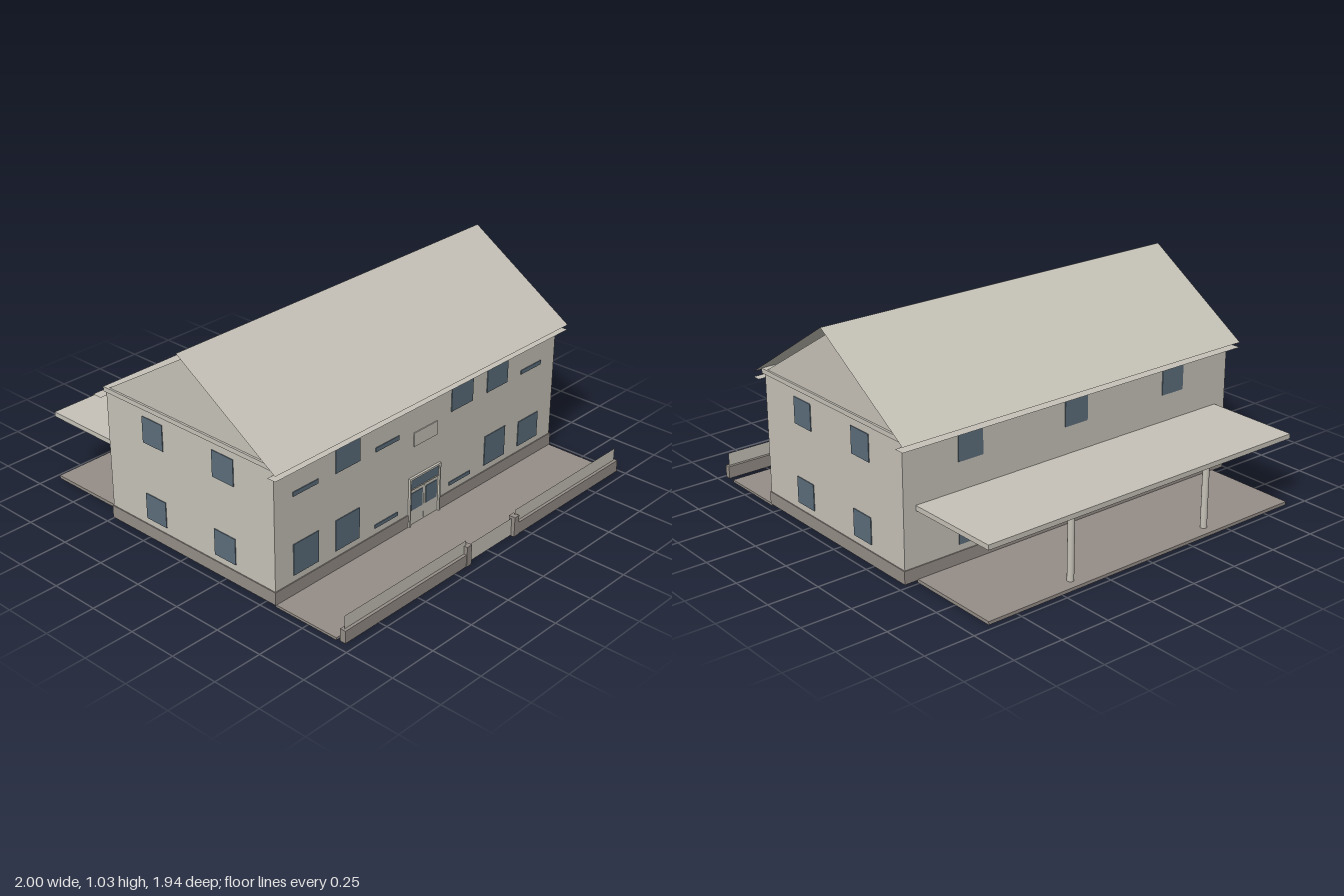
import * as THREE from 'three';

export function createModel() {
  const model = new THREE.Group();
  const mat = (name, color, side = THREE.FrontSide) => {
    const m = new THREE.MeshStandardMaterial({ color, side });
    m.name = name;
    return m;
  };
  const plaster = mat('warm grey plaster', 0xc6c2b8, THREE.DoubleSide);
  const stone = mat('brown grey stone', 0x958d87);
  const glass = mat('blue grey glass', 0x5c6d7b);

  const add = (name, geometry, material, x = 0, y = 0, z = 0) => {
    const mesh = new THREE.Mesh(geometry, material);
    mesh.name = name;
    mesh.position.set(x, y, z);
    model.add(mesh);
    return mesh;
  };
  // Box given by its limits on each axis
  const block = (name, material, x0, x1, y0, y1, z0, z1) =>
    add(name, new THREE.BoxGeometry(x1 - x0, y1 - y0, z1 - z0), material,
      (x0 + x1) / 2, (y0 + y1) / 2, (z0 + z1) / 2);

  const W = 0.965, FRONT = 0.56, BACK = -0.487, BASE = 0.012, EAVE = 0.69;
  const depth = FRONT - BACK, midZ = (FRONT + BACK) / 2, height = EAVE - BASE, midY = (EAVE + BASE) / 2;

  // Walls: an open shell, with a door opening in the front
  const rect = (target, x0, x1, y0, y1) =>
    target.moveTo(x0, y0).lineTo(x1, y0).lineTo(x1, y1).lineTo(x0, y1).closePath();
  const frontShape = new THREE.Shape();
  rect(frontShape, -W, W, BASE, EAVE);
  const opening = new THREE.Path();
  rect(opening, -0.1, 0.1, 0.02, 0.26);
  frontShape.holes.push(opening);
  add('frontWall', new THREE.ShapeGeometry(frontShape), plaster, 0, 0, FRONT);
  add('backWall', new THREE.PlaneGeometry(2 * W, height), plaster, 0, midY, BACK).rotation.y = Math.PI;
  for (const s of [-1, 1]) {
    add('sideWall', new THREE.PlaneGeometry(depth, height), plaster, s * W, midY, midZ).rotation.y = s * Math.PI / 2;
  }

  // Plinth strips around the foot of the walls
  const P = 0.005, PT = 0.075;
  for (const s of [-1, 1]) {
    const xs = [s * 0.11, s * (W + P)].sort((a, b) => a - b);
    block('frontPlinth', stone, xs[0], xs[1], BASE, PT, FRONT, FRONT + P);
    const xe = [s * W, s * (W + P)].sort((a, b) => a - b);
    block('sidePlinth', stone, xe[0], xe[1], BASE, PT, BACK, FRONT);
  }
  block('backPlinth', stone, -W - P, W + P, BASE, PT, BACK - P, BACK);

  // Cornice and gable ends
  block('cornice', plaster, -W - 0.01, W + 0.01, 0.667, EAVE, BACK - 0.008, FRONT + 0.012);
  const RIDGE_Z = 0.033;
  const gable = new THREE.Shape();
  gable.moveTo(-0.536, EAVE).lineTo(0.463, EAVE).lineTo(-RIDGE_Z, 1.0).closePath();
  for (const s of [-1, 1]) {
    add('gable', new THREE.ShapeGeometry(gable), plaster, s * W, 0, 0).rotation.y = Math.PI / 2;
  }

  // Thin roof slopes with a soffit strip under each eave
  const RIDGE_Y = 1.035, EDGE_Y = 0.67;
  for (const [edge, wall] of [[0.605, FRONT], [-0.54, BACK]]) {
    const run = edge - RIDGE_Z, drop = RIDGE_Y - EDGE_Y;
    const slope = add('roofSlope', new THREE.PlaneGeometry(2, Math.hypot(run, drop)), plaster,
      0, (RIDGE_Y + EDGE_Y) / 2, (edge + RIDGE_Z) / 2);
    slope.rotation.x = run > 0 ? -Math.atan2(run, drop) : -Math.PI + Math.atan2(-run, drop) + Math.PI;
    if (run < 0) slope.material = plaster;
    add('soffit', new THREE.PlaneGeometry(2, Math.abs(edge - wall)), plaster,
      0, 0.645, (edge + wall) / 2).rotation.x = -Math.PI / 2;
  }

  // Windows on the front: full panes and narrow strips
  const T = 0.004;
  const frontWindow = (x, y0, y1) =>
    block('frontWindow', glass, x - 0.077, x + 0.077, y0, y1, FRONT, FRONT + T);
  for (const x of [-0.517, 0.258, 0.518]) frontWindow(x, 0.497, 0.644);
  for (const x of [-0.778, -0.26, 0.778]) frontWindow(x, 0.497, 0.518);
  for (const x of [-0.778, -0.517, 0.518]) frontWindow(x, 0.107, 0.262);
  frontWindow(0.778, 0.107, 0.24);
  for (const x of [-0.26, 0.258]) frontWindow(x, 0.107, 0.125);
  block('wallPanel', plaster, -0.08, 0.08, 0.42, 0.49, FRONT, FRONT + 0.005);

  // Windows on the sides and back, on two floors
  for (const y of [0.107, 0.497]) {
    for (const s of [-1, 1]) {
      for (const z of [0.258, -0.185]) {
        const xs = [s * W, s * (W + T)].sort((a, b) => a - b);
        block('sideWindow', glass, xs[0], xs[1], y, y + 0.13, z - 0.065, z + 0.065);
      }
    }
    for (const x of [-0.605, 0, 0.605]) {
      block('backWindow', glass, x - 0.067, x + 0.067, y, y + 0.13, BACK - T, BACK);
    }
  }

  // Entrance: frame, transom light and double doors
  for (const s of [-1, 1]) {
    const xs = [s * 0.1, s * 0.108].sort((a, b) => a - b);
    block('doorJamb', plaster, xs[0], xs[1], BASE, 0.265, FRONT - 0.01, FRONT + 0.012);
    block('doorLeaf', plaster, s * 0.05 - 0.049, s * 0.05 + 0.049, 0.02, 0.197, FRONT - 0.005, FRONT + 0.002);
    block('doorPane', glass, s * 0.051 - 0.039, s * 0.051 + 0.039, 0.09, 0.18, FRONT + 0.002, FRONT + 0.005);
  }
  block('doorHead', plaster, -0.1, 0.1, 0.255, 0.265, FRONT - 0.01, FRONT + 0.012);
  block('transom', glass, -0.1, 0.1, 0.203, 0.255, FRONT - 0.004, FRONT + 0.004);
  block('transomBar', plaster, -0.1, 0.1, 0.197, 0.203, FRONT - 0.005, FRONT + 0.006);

  // Front and back terraces
  block('frontTerrace', stone, -W, W, 0, BASE, FRONT, 0.912);
  block('backTerrace', stone, -0.9, 0.9, 0, 0.016, -0.97, BACK);

  // Rear canopy on two columns
  block('canopy', plaster, -0.9, 0.9, 0.338, 0.362, -0.97, BACK);
  for (const x of [-0.405, 0.405]) {
    add('canopyColumn', new THREE.CylinderGeometry(0.016, 0.016, 0.322, 16), plaster, x, 0.177, -0.913);
  }

  // Garden wall with upper panels, gate posts and gate
  for (const s of [-1, 1]) {
    const xs = [s * 0.185, s * 0.97].sort((a, b) => a - b);
    block('gardenWall', stone, xs[0], xs[1], BASE, 0.073, 0.937, 0.967);
    add('fencePanel', new THREE.PlaneGeometry(0.785, 0.066), plaster, s * 0.5675, 0.104, 0.952);
    block('gatePost', stone, s * 0.17 - 0.016, s * 0.17 + 0.016, BASE, 0.113, 0.936, 0.97);
  }
  add('gate', new THREE.PlaneGeometry(0.31, 0.09), plaster, 0, 0.06, 0.952);

  return model;
}
